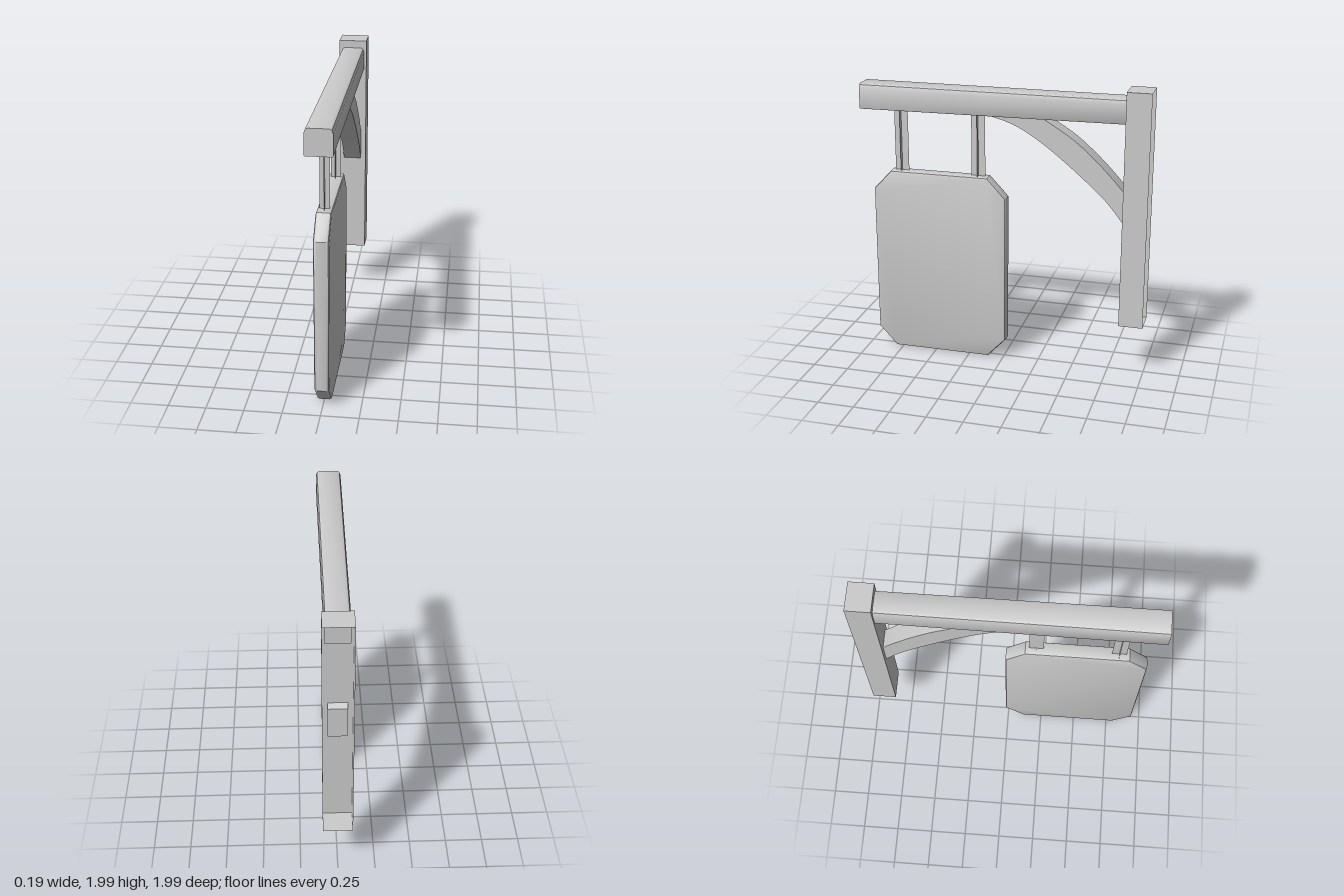
import * as THREE from 'three';
import { toCreasedNormals } from 'three/addons/utils/BufferGeometryUtils.js';

const grey = new THREE.MeshStandardMaterial({ color: 0xcccccc });
const greyBoth = new THREE.MeshStandardMaterial({ color: 0xcccccc, side: THREE.DoubleSide });

function part(name, geometry, material = grey) {
  const mesh = new THREE.Mesh(geometry, material);
  mesh.name = name;
  return mesh;
}

// Side profile given as [z, y] points, extruded across x and centred on x = 0
function sideProfile(shape, width, bevel = 0) {
  const geometry = new THREE.ExtrudeGeometry(shape, {
    depth: width - 2 * bevel, curveSegments: 8,
    bevelEnabled: bevel > 0, bevelSize: bevel, bevelThickness: bevel,
    bevelOffset: -bevel, bevelSegments: 2,
  });
  geometry.translate(0, 0, bevel - width / 2).rotateY(-Math.PI / 2);
  return toCreasedNormals(geometry, 0.7);
}

const points = (list) => list.map(([a, b]) => new THREE.Vector2(a, b));

export function createModel() {
  const group = new THREE.Group();

  // Wall post, open at the back
  const post = new THREE.BoxGeometry(0.195, 1.62, 0.165);
  post.setIndex(Array.from(post.index.array).slice(0, 30));
  post.translate(0, 1.19, -0.912);
  group.add(part('post', post, greyBoth));

  // Beam with softened upper corners, slightly thicker at its free end
  const section = new THREE.Shape(points([
    [-0.077, 1.785], [0.077, 1.785], [0.081, 1.792], [0.081, 1.915],
    [0.073, 1.94], [0.058, 1.948], [-0.058, 1.948], [-0.073, 1.94],
    [-0.081, 1.915], [-0.081, 1.792],
  ]));
  const beam = new THREE.ExtrudeGeometry(section, { depth: 1.85, bevelEnabled: false });
  beam.translate(0, 0, -0.855);
  const p = beam.attributes.position;
  for (let i = 0; i < p.count; i++) {
    if (p.getZ(i) < 0.9) continue;
    p.setX(i, p.getX(i) * 1.08);
    if (p.getY(i) < 1.8) p.setY(i, p.getY(i) - 0.01);
  }
  group.add(part('beam', toCreasedNormals(beam, 0.7)));

  // Curved brace between beam and post
  const brace = new THREE.Shape();
  brace.moveTo(0.15, 1.795);
  brace.splineThru(points([
    [-0.05, 1.74], [-0.2, 1.665], [-0.37, 1.545], [-0.57, 1.38], [-0.72, 1.24], [-0.855, 1.07],
  ]));
  brace.lineTo(-0.855, 1.29);
  brace.splineThru(points([[-0.75, 1.41], [-0.62, 1.54], [-0.47, 1.665], [-0.26, 1.795]]));
  group.add(part('brace', sideProfile(brace, 0.125)));

  // Sign board with clipped corners and bevelled rim
  const board = new THREE.Shape(points([
    [0.8, 0.01], [0.93, 0.15], [0.93, 1.2], [0.8, 1.34],
    [0.11, 1.34], [-0.02, 1.2], [-0.02, 0.15], [0.11, 0.01],
  ]));
  group.add(part('signBoard', sideProfile(board, 0.1, 0.018)));

  // Hangers, each a pair of crossed thin strips
  for (const z of [0.73, 0.182]) {
    const hanger = new THREE.Group();
    hanger.name = 'hanger';
    hanger.position.set(0, 1.56, z);
    const wide = new THREE.PlaneGeometry(0.097, 0.46).rotateY(Math.PI / 2);
    hanger.add(part('hangerSideStrip', wide, greyBoth));
    hanger.add(part('hangerFrontStrip', new THREE.PlaneGeometry(0.066, 0.46), greyBoth));
    group.add(hanger);
  }

  return group;
}
